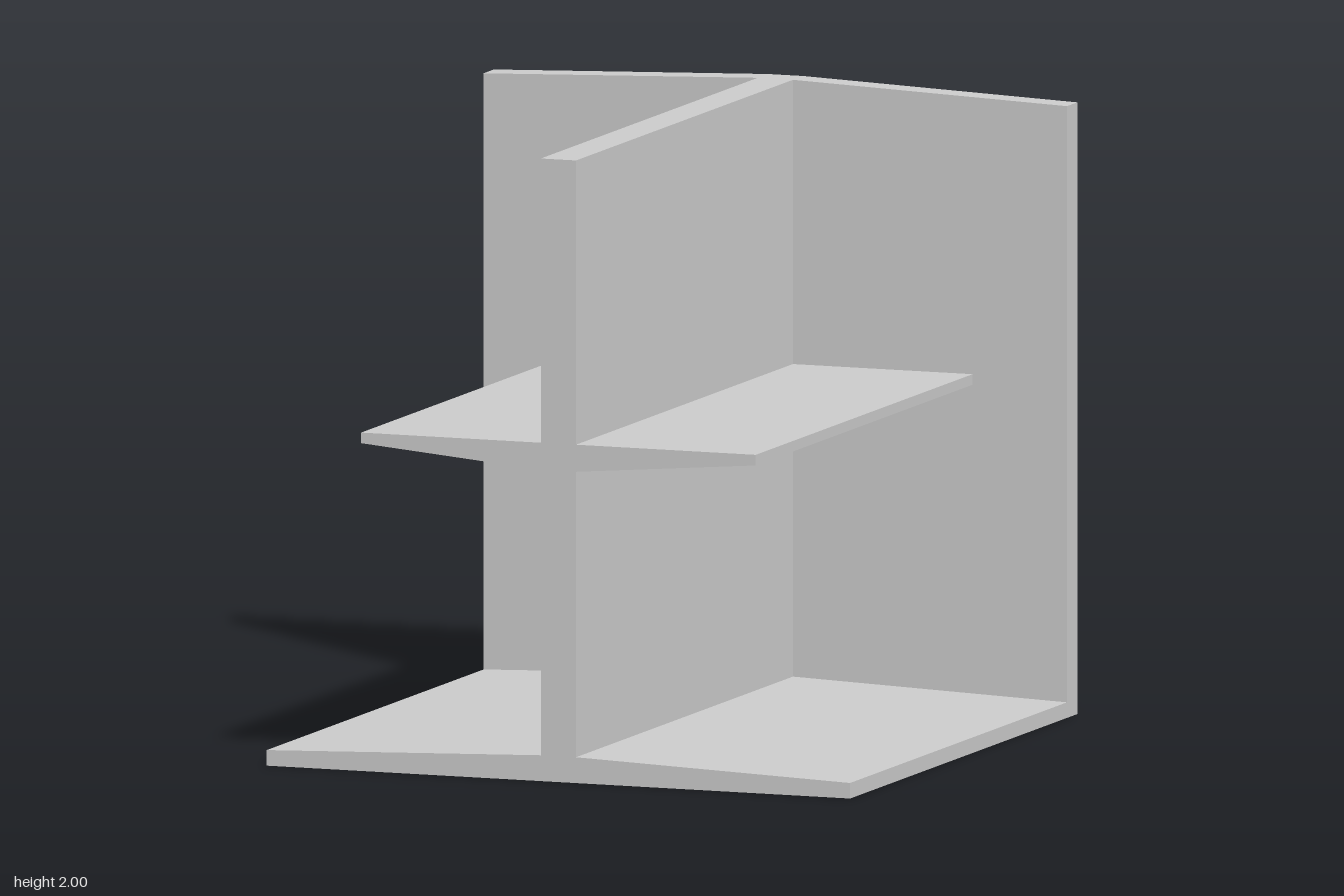
import * as THREE from 'three';

const HALF = 0.995;    // half width and half depth
const WEB = 0.06;      // half thickness of the upright divider
const BACK_Z = -0.905; // front face of the back panel

// Extrudes a profile, given as its right half from bottom to top and mirrored in x
function mirroredExtrusion(name, half, z0, z1, material) {
  const left = half.map(([x, y]) => [-x, y]).reverse();
  const shape = new THREE.Shape([...half, ...left].map(([x, y]) => new THREE.Vector2(x, y)));
  const geometry = new THREE.ExtrudeGeometry(shape, { depth: z1 - z0, bevelEnabled: false });
  geometry.translate(0, 0, z0);
  const mesh = new THREE.Mesh(geometry, material);
  mesh.name = name;
  return mesh;
}

export function createModel() {
  const group = new THREE.Group();
  group.name = 'dividedShelfUnit';
  const material = new THREE.MeshStandardMaterial({ color: 0xcccccc, flatShading: true });

  // Back panel with a slightly peaked top edge
  group.add(mirroredExtrusion('backPanel', [
    [HALF, 0], [HALF, 1.965], [WEB, 2],
  ], -HALF, BACK_Z, material));

  // Sloped base, upright divider and tapered side shelves as one section
  group.add(mirroredExtrusion('baseDividerAndShelves', [
    [HALF, 0], [HALF, 0.05], [WEB, 0.083],   // base
    [WEB, 1], [0.673, 1.053], [0.673, 1.087], // shelf
    [WEB, 1.087], [WEB, 2],                  // divider
  ], BACK_Z, HALF, material));

  return group;
}
